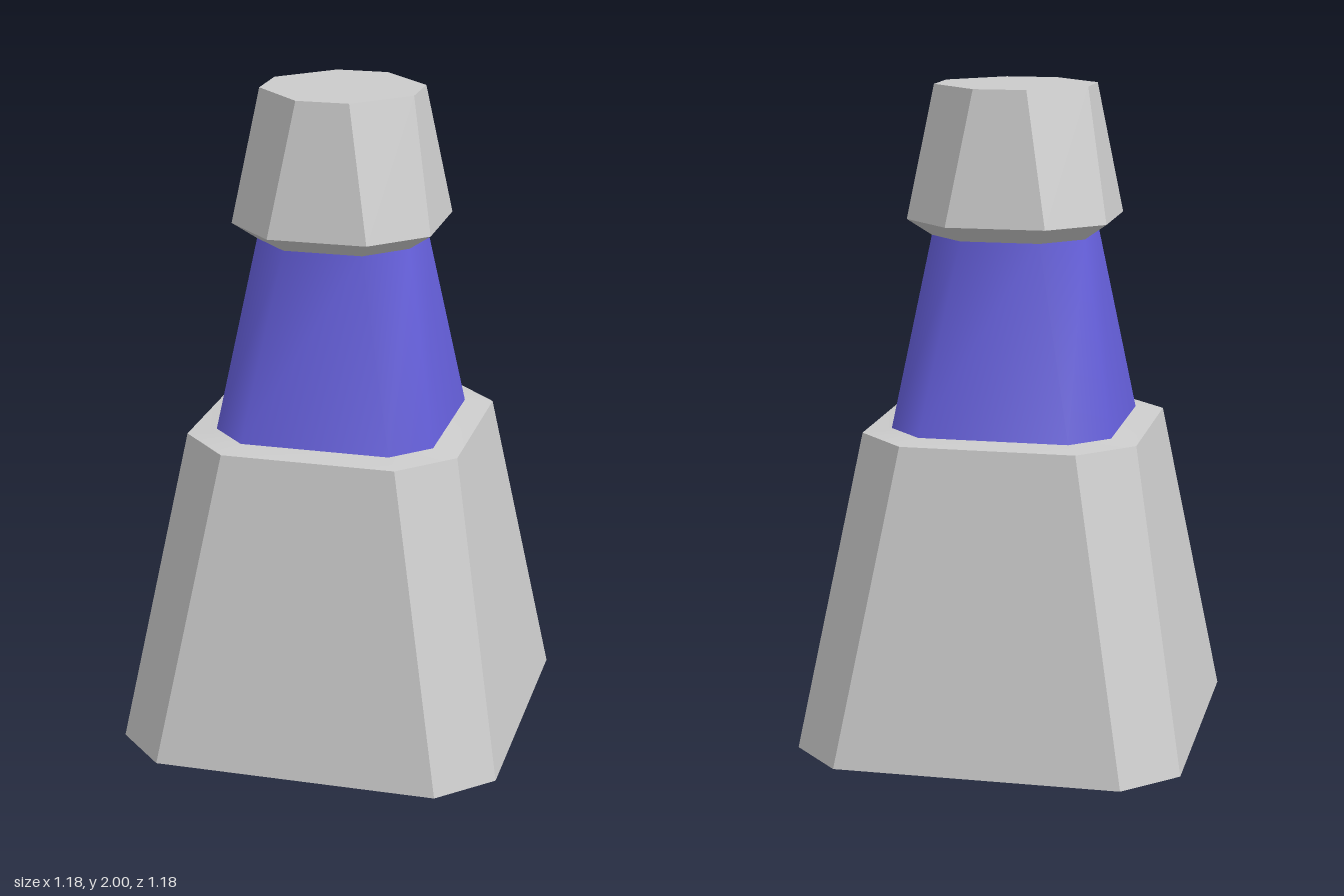
import * as THREE from 'three';

// Corners [x, z] of a square of given half width with its corners cut off
function octagon(half, cut) {
  const f = half - cut;
  return [
    [half, -f], [half, f], [f, half], [-f, half],
    [-half, f], [-half, -f], [-f, -half], [f, -half],
  ];
}

// Wall between two chamfered-square sections, each { y, half, cut }
function wall(lower, upper, smooth) {
  const positions = [];
  const indices = [];
  for (const s of [lower, upper]) {
    for (const [x, z] of octagon(s.half, s.cut)) positions.push(x, s.y, z);
  }
  for (let i = 0; i < 8; i++) {
    const j = (i + 1) % 8;
    indices.push(i, i + 8, j, j, i + 8, j + 8);
  }
  let geometry = new THREE.BufferGeometry();
  geometry.setAttribute('position', new THREE.Float32BufferAttribute(positions, 3));
  geometry.setIndex(indices);
  if (!smooth) geometry = geometry.toNonIndexed();
  geometry.computeVertexNormals();
  return geometry;
}

export function createModel() {
  const model = new THREE.Group();
  model.name = 'taperedTower';

  const grey = new THREE.MeshStandardMaterial({ color: 0xcccccc, side: THREE.DoubleSide });
  const blue = new THREE.MeshStandardMaterial({ color: 0x6660dd, side: THREE.DoubleSide });

  const add = (name, geometry, material) => {
    const mesh = new THREE.Mesh(geometry, material);
    mesh.name = name;
    model.add(mesh);
  };

  // Sections from the ground up
  const foot = { y: 0, half: 0.59, cut: 0.155 };
  const shoulder = { y: 0.96, half: 0.42, cut: 0.155 };
  const neckBottom = { y: 0.97, half: 0.338, cut: 0.11 };
  const neckTop = { y: 1.55, half: 0.235, cut: 0.115 };
  const capBottom = { y: 1.6, half: 0.305, cut: 0.155 };
  const capTop = { y: 2, half: 0.235, cut: 0.155 };

  // Hollow base, open underneath, with a sloped ledge around the neck
  add('base', wall(foot, shoulder, false), grey);
  add('baseLedge', wall(shoulder, neckBottom, true), grey);

  // Coloured neck
  add('neck', wall(neckBottom, neckTop, true), blue);

  // Cap with flared underside and flat lid
  add('capUnderside', wall(neckTop, capBottom, true), grey);
  add('cap', wall(capBottom, capTop, false), grey);
  const outline = octagon(capTop.half, capTop.cut).map(([x, z]) => new THREE.Vector2(x, z));
  const lid = new THREE.ShapeGeometry(new THREE.Shape(outline));
  lid.rotateX(-Math.PI / 2).translate(0, capTop.y, 0);
  add('capLid', lid, grey);

  return model;
}
